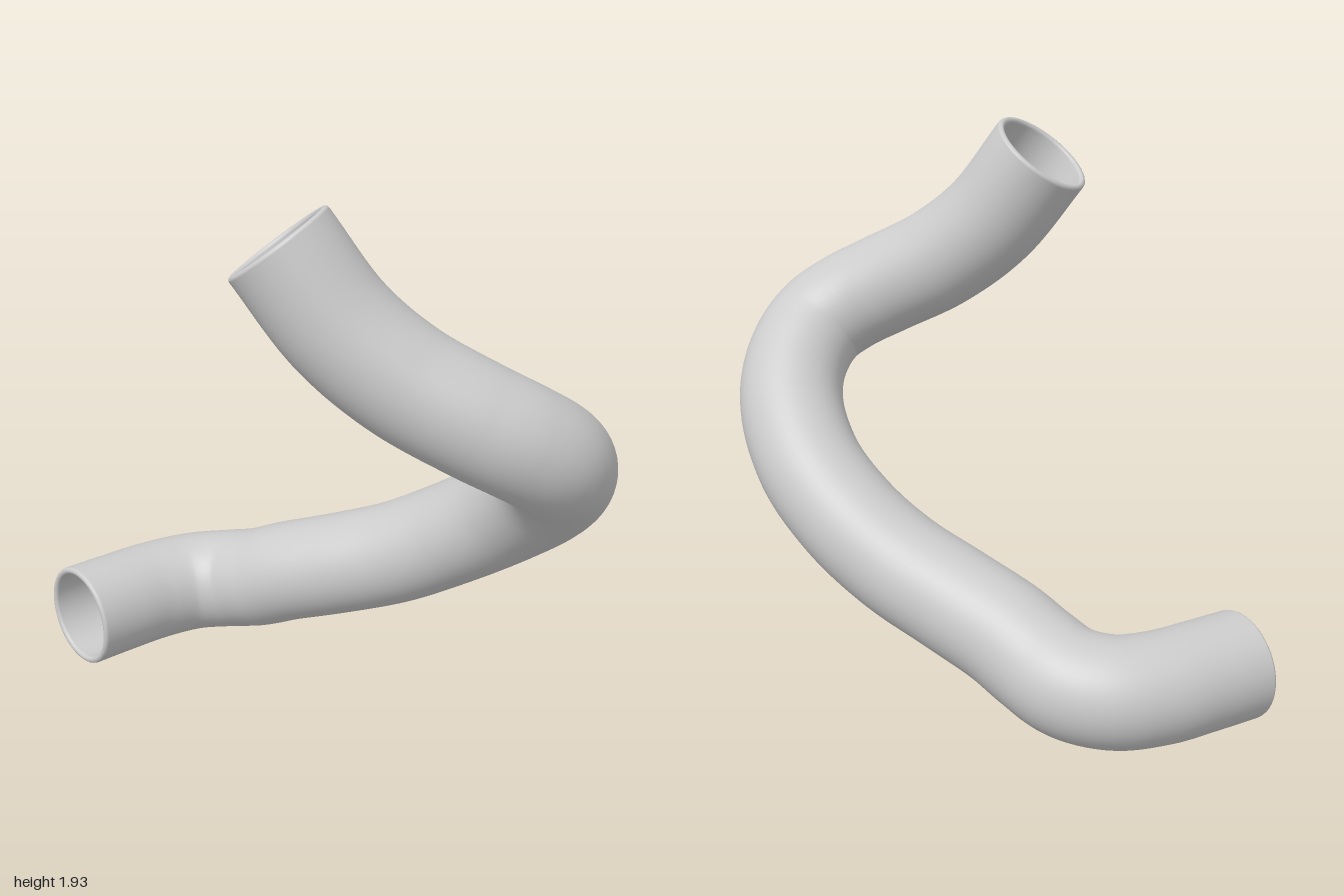
import * as THREE from 'three';

const OUTER = 0.19, INNER = 0.164;
const SEGMENTS = 160, SIDES = 48;

// Centreline, from the lower mouth to the upper mouth
const PATH = [
  [-0.588, 0.195, -0.81], [-0.42, 0.195, -0.805], [-0.25, 0.195, -0.793],
  [-0.1, 0.2, -0.745], [0, 0.217, -0.64], [0.045, 0.257, -0.51],
  [0.09, 0.312, -0.39], [0.18, 0.385, -0.2], [0.285, 0.47, 0],
  [0.375, 0.59, 0.2], [0.42, 0.735, 0.41], [0.385, 0.9, 0.62],
  [0.295, 1.025, 0.745], [0.17, 1.13, 0.808], [0.06, 1.205, 0.775],
  [-0.05, 1.28, 0.685], [-0.2, 1.405, 0.51], [-0.32, 1.565, 0.355],
  [-0.43, 1.81, 0.202],
];

// Turn a surface inside out, for the bore
function invert(geometry) {
  const index = geometry.index.array;
  for (let i = 0; i < index.length; i += 3) {
    [index[i], index[i + 2]] = [index[i + 2], index[i]];
  }
  const normal = geometry.attributes.normal;
  for (let i = 0; i < normal.array.length; i++) normal.array[i] *= -1;
  return geometry;
}

export function createModel() {
  const group = new THREE.Group();
  group.name = 'bentHose';
  const material = new THREE.MeshStandardMaterial({ color: 0xcccccc });
  const curve = new THREE.CatmullRomCurve3(
    PATH.map((p) => new THREE.Vector3(...p)), false, 'centripetal');

  const add = (name, geometry) => {
    const mesh = new THREE.Mesh(geometry, material);
    mesh.name = name;
    group.add(mesh);
    return mesh;
  };

  // Outer wall and hollow bore
  add('outerWall', new THREE.TubeGeometry(curve, SEGMENTS, OUTER, SIDES));
  add('innerWall', invert(new THREE.TubeGeometry(curve, SEGMENTS, INNER, SIDES)));

  // Rounded rims joining the walls at both mouths
  const rim = new THREE.TorusGeometry((OUTER + INNER) / 2, (OUTER - INNER) / 2, 12, SIDES);
  [['lowerRim', 0], ['upperRim', 1]].forEach(([name, t]) => {
    const mesh = add(name, rim);
    mesh.position.copy(curve.getPointAt(t));
    mesh.quaternion.setFromUnitVectors(new THREE.Vector3(0, 0, 1), curve.getTangentAt(t));
  });

  return group;
}
